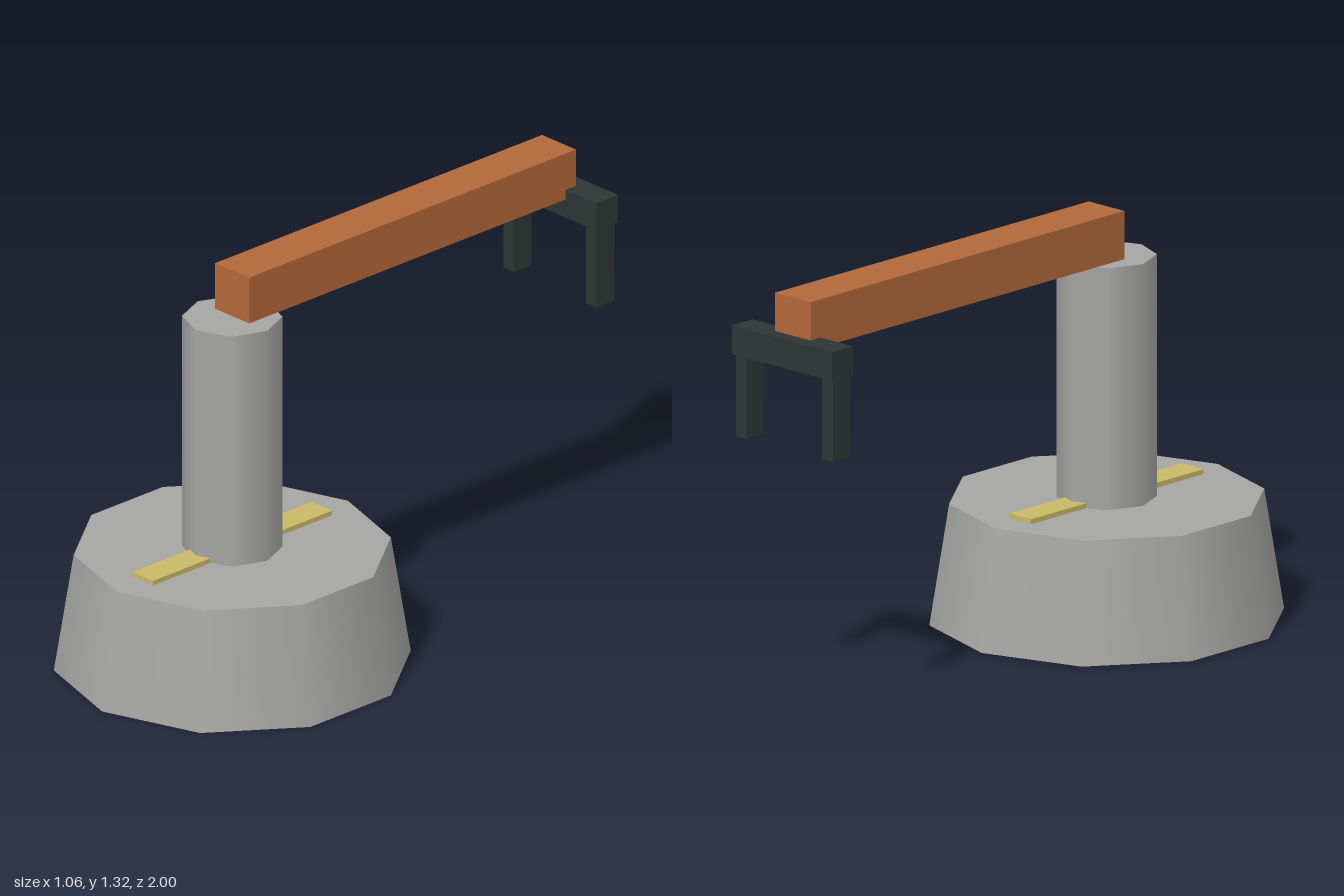
import * as THREE from 'three';

const material = (name, color) => {
  const m = new THREE.MeshStandardMaterial({ color });
  m.name = name;
  return m;
};

export function createModel() {
  const grey = material('grey', 0xa6a6a4);
  const orange = material('orange', 0xb3683a);
  const dark = material('dark green grey', 0x2c3634);
  const yellow = material('yellow', 0xcab968);
  const model = new THREE.Group();
  model.name = 'crane';

  const add = (name, geometry, mat, x, y, z) => {
    const mesh = new THREE.Mesh(geometry, mat);
    mesh.name = name;
    mesh.position.set(x, y, z);
    model.add(mesh);
  };
  // Box given by its lower and upper corners
  const box = (name, mat, [x0, y0, z0], [x1, y1, z1]) =>
    add(name, new THREE.BoxGeometry(x1 - x0, y1 - y0, z1 - z0), mat,
      (x0 + x1) / 2, (y0 + y1) / 2, (z0 + z1) / 2);

  const axisZ = 0.443;

  // Tapered ten-sided base and eight-sided column, smooth round the sides
  add('base', new THREE.CylinderGeometry(0.494, 0.556, 0.387, 10), grey, 0, 0.1935, axisZ);
  add('column', new THREE.CylinderGeometry(0.155, 0.155, 0.778, 8), grey, 0, 0.776, axisZ);

  // Marker strip running under the column
  box('markerStrip', yellow, [-0.046, 0.38, 0.06], [0.046, 0.403, 0.826]);

  // Arm reaching to the back
  box('arm', orange, [-0.076, 1.165, -0.953], [0.076, 1.32, 0.443]);

  // Gripper: crossbar with two hanging fingers
  box('gripperBar', dark, [-0.215, 1.104, -1], [0.215, 1.197, -0.908]);
  for (const side of [-1, 1]) {
    add(side > 0 ? 'leftFinger' : 'rightFinger',
      new THREE.BoxGeometry(0.046, 0.264, 0.076), dark, side * 0.185, 0.972, -0.952);
  }

  return model;
}
